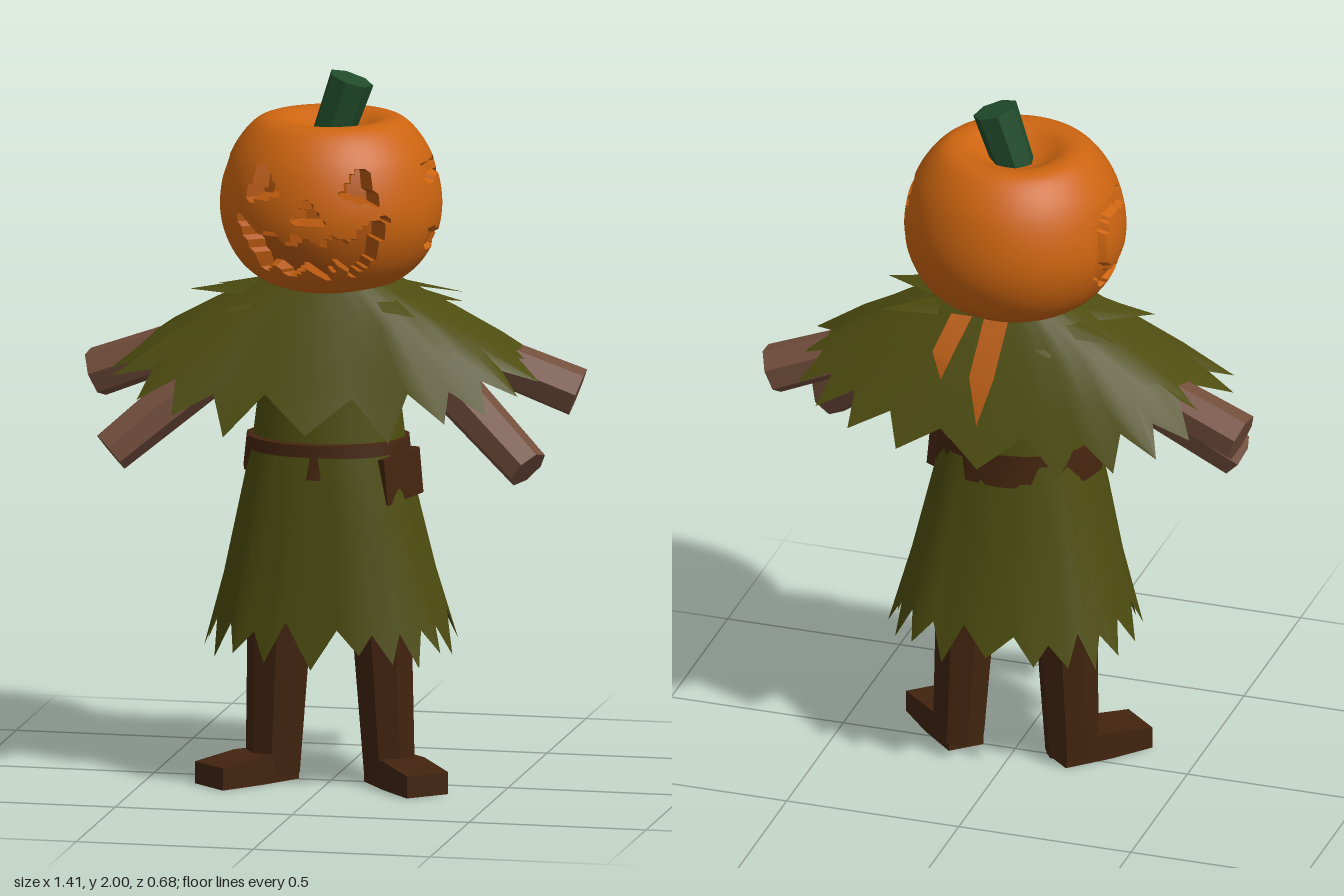
import * as THREE from 'three';
import { toCreasedNormals } from 'three/addons/utils/BufferGeometryUtils.js';

const mat = (name, color, side = THREE.FrontSide) => {
  const m = new THREE.MeshStandardMaterial({ color, side });
  m.name = name;
  return m;
};

export function createModel() {
  const group = new THREE.Group();
  const orange = mat('pumpkin orange', 0xcc6410);
  const carved = mat('carved orange', 0xb3560e);
  const sash = mat('ribbon orange', 0xb85c12, THREE.DoubleSide);
  const green = mat('stem green', 0x214c2b);
  const cloth = mat('olive cloth', 0x4e4d10, THREE.DoubleSide);
  const leather = mat('belt brown', 0x45250f);
  const legBrown = mat('leg brown', 0x42240f);
  const wood = mat('arm brown', 0x744f3d);

  let seed = 7;
  const rand = () => (seed = (seed * 16807) % 2147483647) / 2147483647;

  const add = (name, geo, material, crease = 0.6) => {
    const mesh = new THREE.Mesh(toCreasedNormals(geo, crease), material);
    mesh.name = name;
    group.add(mesh);
    return mesh;
  };

  // Tapered many-sided limb between two points
  const limb = (name, a, b, ra, rb, sides, material) => {
    const A = new THREE.Vector3(...a), B = new THREE.Vector3(...b);
    const dir = B.clone().sub(A);
    const mesh = add(name, new THREE.CylinderGeometry(rb, ra, dir.length(), sides), material);
    mesh.position.copy(A).add(B).multiplyScalar(0.5);
    mesh.quaternion.setFromUnitVectors(new THREE.Vector3(0, 1, 0), dir.normalize());
    return mesh;
  };

  // Ragged cloth: rings of [rx, rz, y front, y side, z centre]; the last two are hem valley and tip
  const ragged = (name, tips, rings, ex, ez, jitter) => {
    const n = tips * 2, pos = [], idx = [];
    const hem = rings.length - 2;
    const jit = Array.from({ length: n }, () => rand() - 0.5);
    for (let r = 0; r <= hem; r++) {
      for (let i = 0; i < n; i++) {
        const a = (i / n) * Math.PI * 2 + Math.PI / 2;
        const c = Math.cos(a), s = Math.sin(a);
        const [rx, rz, yf, ys, cz] = rings[r === hem && i % 2 === 0 ? hem + 1 : r];
        const j = r === hem ? jit[i] * jitter : 0;
        const fold = r > 0 && r < hem ? 1 + jit[i] * 0.05 : 1 + j * 0.5;
        pos.push(Math.sign(c) * Math.abs(c) ** ex * rx * fold,
          yf + (ys - yf) * c * c + j,
          Math.sign(s) * Math.abs(s) ** ez * rz * fold + cz);
      }
    }
    for (let r = 0; r < hem; r++) {
      for (let i = 0; i < n; i++) {
        const k = (i + 1) % n, a = r * n + i, b = r * n + k, c = a + n, d = b + n;
        if (i % 2) idx.push(a, b, d, a, d, c);
        else idx.push(a, b, c, b, d, c);
      }
    }
    const geo = new THREE.BufferGeometry();
    geo.setAttribute('position', new THREE.Float32BufferAttribute(pos, 3));
    geo.setIndex(idx);
    return add(name, geo, cloth, 0.7);
  };

  // Pumpkin head: turned profile with the face pressed inwards
  const inside = (poly, x, y) => {
    let hit = false;
    for (let i = 0, j = poly.length - 1; i < poly.length; j = i++) {
      const [xi, yi] = poly[i], [xj, yj] = poly[j];
      if ((yi > y) !== (yj > y) && x < ((xj - xi) * (y - yi)) / (yj - yi) + xi) hit = !hit;
    }
    return hit;
  };
  const face = [
    [[-0.19, 1.67], [-0.09, 1.70], [-0.14, 1.78]],
    [[0.19, 1.67], [0.09, 1.70], [0.14, 1.78]],
    [[-0.04, 1.625], [0.04, 1.625], [0, 1.69]],
    [[-0.22, 1.63], [-0.14, 1.57], [-0.11, 1.60], [-0.07, 1.55], [-0.03, 1.59], [0.03, 1.55], [0.07, 1.59],
      [0.12, 1.56], [0.15, 1.60], [0.21, 1.64], [0.17, 1.52], [0.11, 1.47], [0.08, 1.51], [0.04, 1.46],
      [-0.02, 1.50], [-0.06, 1.46], [-0.10, 1.50], [-0.14, 1.48]],
  ];
  const ear = [[0.07, 1.75], [-0.08, 1.76], [-0.13, 1.69], [-0.13, 1.57], [-0.07, 1.51], [0.06, 1.52], [0.08, 1.57],
    [0.03, 1.57], [-0.05, 1.55], [-0.09, 1.60], [-0.09, 1.68], [-0.05, 1.72], [0.07, 1.71]];
  const profile = new THREE.CatmullRomCurve3([[0, 1.385], [0.14, 1.395], [0.24, 1.455], [0.295, 1.55], [0.306, 1.65],
    [0.27, 1.78], [0.2, 1.862], [0.15, 1.868], [0.08, 1.835], [0, 1.82]].map(([x, y]) => new THREE.Vector3(x, y, 0)));
  const head = new THREE.LatheGeometry(
    profile.getSpacedPoints(76).map((p) => new THREE.Vector2(Math.max(p.x, 0), p.y)), 112);
  const hp = head.attributes.position, pressed = [];
  for (let i = 0; i < hp.count; i++) {
    const x = hp.getX(i), y = hp.getY(i), z = hp.getZ(i);
    const cut = z > 0.1 && face.some((f) => inside(f, x, y));
    const groove = Math.abs(x) > 0.15 && inside(ear, z, y);
    pressed.push(cut);
    const k = cut ? 0.83 : groove ? 0.94 : 1;
    hp.setXYZ(i, x * k, y, z * k);
  }
  const skin = [], pulp = [], hi = head.index.array;
  for (let i = 0; i < hi.length; i += 3) {
    const tri = [hi[i], hi[i + 1], hi[i + 2]];
    (tri.some((v) => pressed[v]) ? pulp : skin).push(...tri);
  }
  head.setIndex([...skin, ...pulp]);
  head.clearGroups();
  head.addGroup(0, skin.length, 0);
  head.addGroup(skin.length, pulp.length, 1);
  add('pumpkinHead', head, [orange, carved]);

  limb('stem', [-0.005, 1.8, -0.01], [0.055, 1.975, -0.01], 0.058, 0.064, 7, green);

  // Torso, belt and belt flap
  const torso = add('torso', new THREE.CylinderGeometry(0.16, 0.225, 0.52, 16), cloth);
  torso.scale.z = 0.8;
  torso.position.set(0, 1.16, 0.02);
  const belt = add('belt', new THREE.CylinderGeometry(0.23, 0.24, 0.095, 16), leather);
  belt.scale.z = 0.82;
  belt.position.set(0, 0.935, 0.035);
  const flap = add('beltFlap', new THREE.BoxGeometry(0.03, 0.13, 0.16), leather);
  flap.position.set(0.215, 0.885, 0.1);
  flap.rotation.set(0.1, -0.45, 0.08);

  // Tattered skirt, cape and collar
  ragged('skirt', 20, [
    [0.21, 0.185, 0.95, 0.95, 0.04], [0.24, 0.205, 0.8, 0.8, 0.035], [0.285, 0.225, 0.6, 0.6, 0.02],
    [0.315, 0.245, 0.47, 0.47, 0.01], [0.345, 0.265, 0.385, 0.375, 0.005]], 0.8, 0.75, 0.05);
  ragged('cape', 22, [
    [0.17, 0.14, 1.42, 1.42, 0], [0.34, 0.2, 1.32, 1.335, 0], [0.46, 0.265, 1.18, 1.27, 0],
    [0.53, 0.29, 1.12, 1.215, 0], [0.61, 0.34, 1.025, 1.16, 0]], 0.75, 0.65, 0.04);
  ragged('collar', 9, [
    [0.15, 0.13, 1.41, 1.41, 0], [0.22, 0.165, 1.37, 1.385, 0], [0.39, 0.2, 1.32, 1.37, 0]], 0.8, 0.7, 0.02);

  // Ribbons hanging down the back of the cape
  const ribbon = (x0, x1, w, yEnd, zEnd) => {
    const geo = new THREE.BufferGeometry();
    const zMid = (zEnd - 0.18) / 2 - 0.015, yMid = (1.4 + yEnd) / 2;
    geo.setAttribute('position', new THREE.Float32BufferAttribute([
      x0 - w, 1.41, -0.17, x0 + w, 1.41, -0.17, x1 - w, yMid, zMid - 0.01, x1 + w, yMid, zMid - 0.01,
      x1, yEnd, zEnd], 3));
    geo.setIndex([0, 2, 1, 1, 2, 3, 2, 4, 3]);
    add('backRibbon', geo, sash);
  };
  ribbon(0.0, 0.01, 0.035, 1.15, -0.315);
  ribbon(0.1, 0.13, 0.03, 1.25, -0.265);

  // Paired arms, legs and splayed feet
  for (const s of [1, -1]) {
    limb('upperArm', [s * 0.2, 1.29, -0.03], [s * 0.68, 1.105, -0.075], 0.06, 0.07, 7, wood);
    limb('lowerArm', [s * 0.24, 1.23, 0.0], [s * 0.59, 0.93, 0.155], 0.075, 0.062, 7, wood);
    limb('leg', [s * 0.135, 0.65, 0.01], [s * 0.165, 0.02, 0.0], 0.095, 0.075, 8, legBrown);
    const footGeo = new THREE.BoxGeometry(0.13, 0.08, 0.27, 1, 1, 2);
    const fp = footGeo.attributes.position;
    for (let i = 0; i < fp.count; i++) {
      if (fp.getZ(i) > 0.1 && fp.getY(i) > 0) fp.setY(i, 0.022);
      if (fp.getZ(i) < -0.1) fp.setX(i, fp.getX(i) * 0.8);
    }
    const foot = add('foot', footGeo, legBrown);
    foot.position.set(s * 0.22, 0.04, 0.065);
    foot.rotation.y = s * 0.72;
  }
  return group;
}
